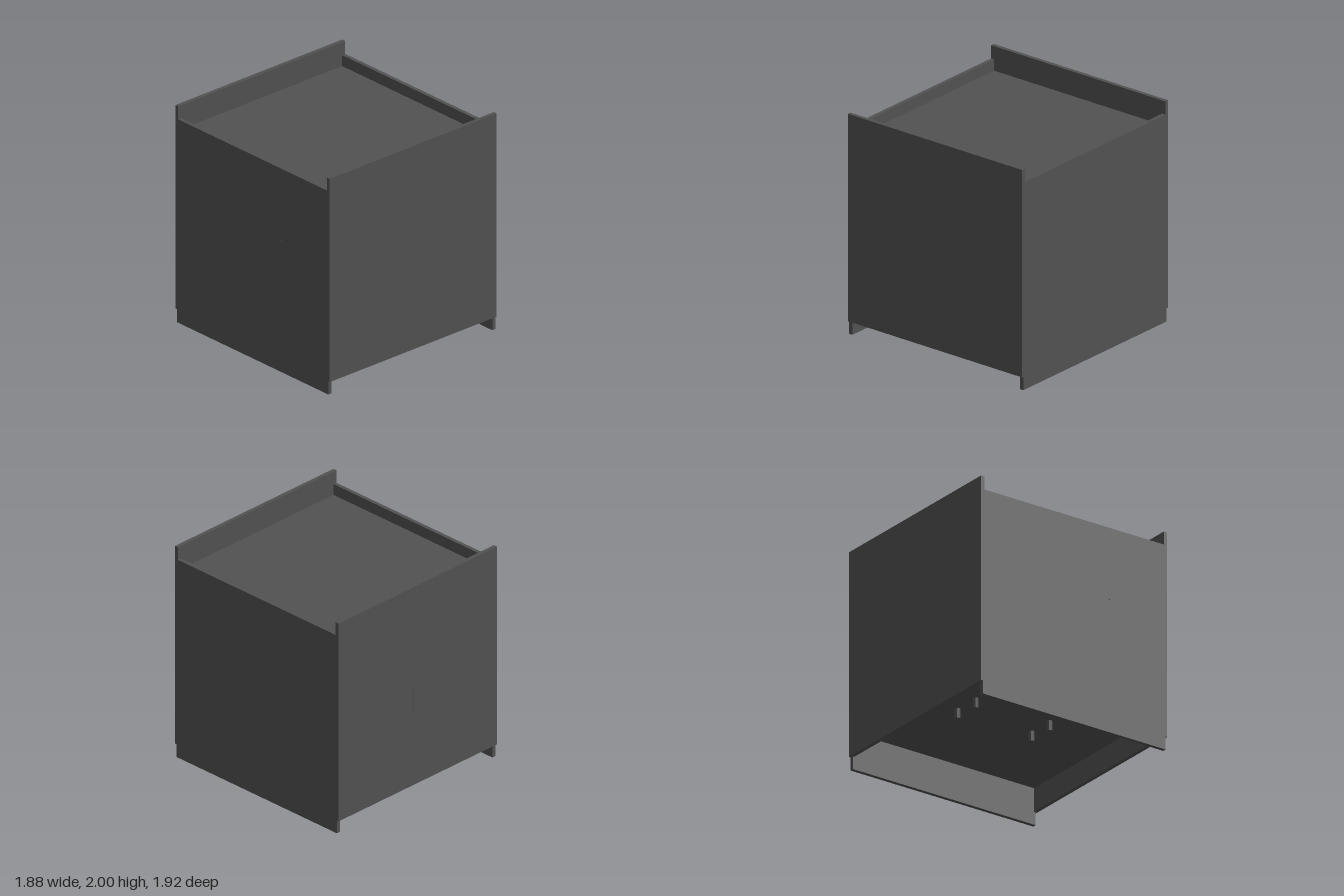
import * as THREE from 'three';

export function createModel() {
  const model = new THREE.Group();
  const material = new THREE.MeshStandardMaterial({ color: 0x525252, flatShading: true });

  function add(name, geometry, x, y, z) {
    const mesh = new THREE.Mesh(geometry, material);
    mesh.name = name;
    mesh.position.set(x, y, z);
    model.add(mesh);
  }

  // Flat board given by its lower and upper corners
  function board(name, [x0, y0, z0], [x1, y1, z1]) {
    add(name, new THREE.BoxGeometry(x1 - x0, y1 - y0, z1 - z0),
      (x0 + x1) / 2, (y0 + y1) / 2, (z0 + z1) / 2);
  }

  // Front and back boards rise above the top
  board('frontPanel', [-0.936, 0.12, 0.927], [0.942, 2, 0.961]);
  board('backPanel', [-0.936, 0.12, -0.955], [0.942, 2, -0.919]);

  // Side boards reach down to the ground
  board('leftPanel', [0.907, 0, -0.935], [0.942, 1.88, 0.945]);
  board('rightPanel', [-0.936, 0, -0.935], [-0.902, 1.88, 0.945]);

  // Recessed top and bottom boards, let into the sides
  board('topPanel', [-0.935, 1.745, -0.935], [0.941, 1.778, 0.944]);
  board('bottomPanel', [-0.935, 0.335, -0.935], [0.941, 0.37, 0.944]);

  // Four short pegs under the bottom board
  for (const dx of [-0.128, 0.128]) {
    for (const dz of [-0.38, 0.38]) {
      add('bottomPeg', new THREE.CylinderGeometry(0.025, 0.025, 0.1, 8),
        -0.11 + dx, 0.295, -0.124 + dz);
    }
  }

  // Upright rod mostly sunk into the back board
  add('backRod', new THREE.CylinderGeometry(0.024, 0.024, 0.215, 8), 0.05, 0.94, -0.939);

  // Small pointed stud on the right side
  add('sideStud', new THREE.OctahedronGeometry(0.018), -0.925, 1.22, 0.365);

  return model;
}
